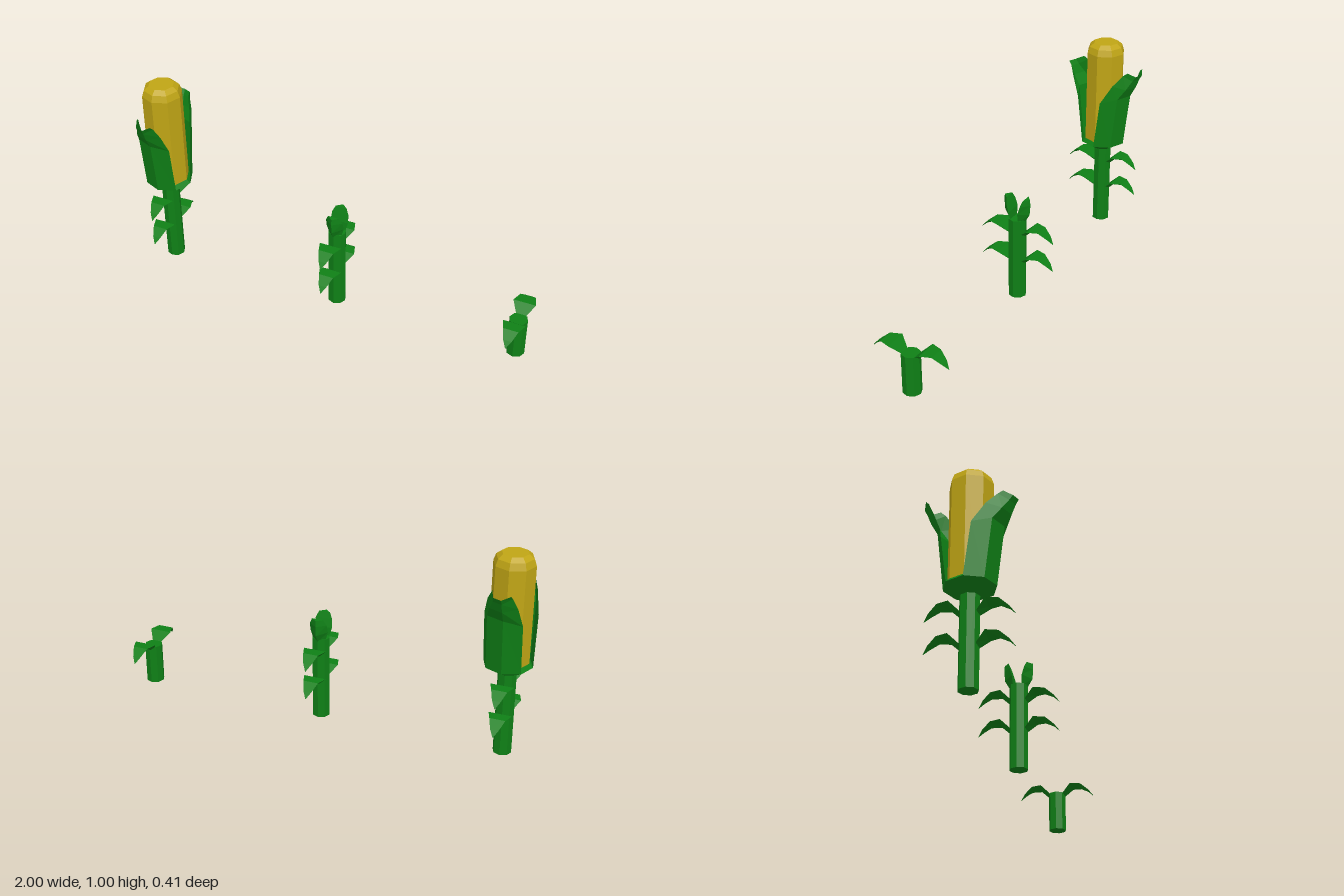
import * as THREE from 'three';

const green = new THREE.MeshStandardMaterial({ color: 0x0f8016, flatShading: true, side: THREE.DoubleSide });
const yellow = new THREE.MeshStandardMaterial({ color: 0xc0a515, flatShading: true });

function part(name, geometry, material = green) {
  const mesh = new THREE.Mesh(geometry, material);
  mesh.name = name;
  return mesh;
}

// Skin a row of cross-sections (each a list of [x, y, z] points)
function loft(sections, closed) {
  const n = sections[0].length;
  const index = [];
  for (let i = 0; i < sections.length - 1; i++) {
    for (let j = 0; j < (closed ? n : n - 1); j++) {
      const a = i * n + j, b = i * n + (j + 1) % n;
      index.push(a, b, b + n, a, b + n, a + n);
    }
  }
  if (closed) {
    const e = (sections.length - 1) * n;
    for (let j = 1; j < n - 1; j++) index.push(0, j + 1, j, e, e + j, e + j + 1);
  }
  const geometry = new THREE.BufferGeometry();
  geometry.setAttribute('position', new THREE.Float32BufferAttribute(sections.flat(2), 3));
  geometry.setIndex(index);
  geometry.computeVertexNormals();
  return geometry;
}

// Keeled blade: rows of [half width, edge y, edge z, keel y, keel z]
const blade = (rows) => loft(rows.map(([w, y, z, ky, kz]) => [[w, y, z], [-w, y, z], [0, ky, kz]]), true);

const stalkLeaf = blade([
  [0.025, 0.2, 0.035, 0.178, 0.037],
  [0.055, 0.238, 0.078, 0.218, 0.08],
  [0.037, 0.238, 0.13, 0.218, 0.13],
  [0.02, 0.206, 0.17, 0.2, 0.168],
  [0.001, 0.178, 0.193, 0.177, 0.192],
]);

const budLeaf = blade([
  [0.03, 0.41, 0.02, 0.41, 0.043],
  [0.045, 0.46, 0.024, 0.45, 0.066],
  [0.042, 0.5, 0.035, 0.5, 0.07],
  [0.028, 0.53, 0.044, 0.53, 0.068],
]);

// Husk leaf: part of an octagon that leans outward; rows of [radius, offset z, edge y, middle y]
const huskLeaf = loft([
  [0.115, 0, 0.46, 0.46],
  [0.115, 0.03, 0.71, 0.735],
  [0.09, 0.085, 0.806, 0.79],
  [0.062, 0.13, 0.862, 0.835],
  [0.055, 0.15, 0.878, 0.86],
].map(([r, dz, edgeY, midY]) => [1, 2, 3, 4].map((k) => {
  const a = k * Math.PI / 4;
  return [r * Math.cos(a), k === 1 || k === 4 ? edgeY : midY, dz + r * Math.sin(a)];
})), false);

// One copy facing front, one facing back
function addPair(plant, name, geometry, y = 0) {
  for (const side of ['front', 'back']) {
    const mesh = part(side + name, geometry);
    mesh.position.y = y;
    if (side === 'back') mesh.rotation.y = Math.PI;
    plant.add(mesh);
  }
}

function makePlant(name, x, stalkHeight, leafLevels) {
  const plant = new THREE.Group();
  plant.name = name;
  plant.position.x = x;
  const stalk = part('stalk', new THREE.CylinderGeometry(0.044, 0.044, stalkHeight, 8));
  stalk.position.y = stalkHeight / 2;
  plant.add(stalk);
  for (let i = 0; i < leafLevels; i++) addPair(plant, 'StalkLeaf' + (i + 1), stalkLeaf, i * 0.147);
  return plant;
}

const lathe = (points) => new THREE.LatheGeometry(points.map(([r, y]) => new THREE.Vector2(r, y)), 8);

export function createModel() {
  const model = new THREE.Group();
  model.name = 'cornGrowthStages';

  const seedling = makePlant('seedling', 0.945, 0.2, 1);

  const youngPlant = makePlant('youngPlant', 0.025, 0.42, 2);
  addPair(youngPlant, 'BudLeaf', budLeaf);

  const ripePlant = makePlant('ripePlant', -0.885, 0.42, 2);
  ripePlant.add(part('huskCup', lathe([[0, 0.42], [0.044, 0.42], [0.115, 0.46], [0.09, 0.485], [0, 0.485]])));
  ripePlant.add(part('cob', lathe([[0, 0.47], [0.097, 0.47], [0.097, 0.952], [0.086, 0.984], [0.062, 1.003], [0, 1.003]]), yellow));
  addPair(ripePlant, 'HuskLeaf', huskLeaf);

  model.add(ripePlant, youngPlant, seedling);
  return model;
}
